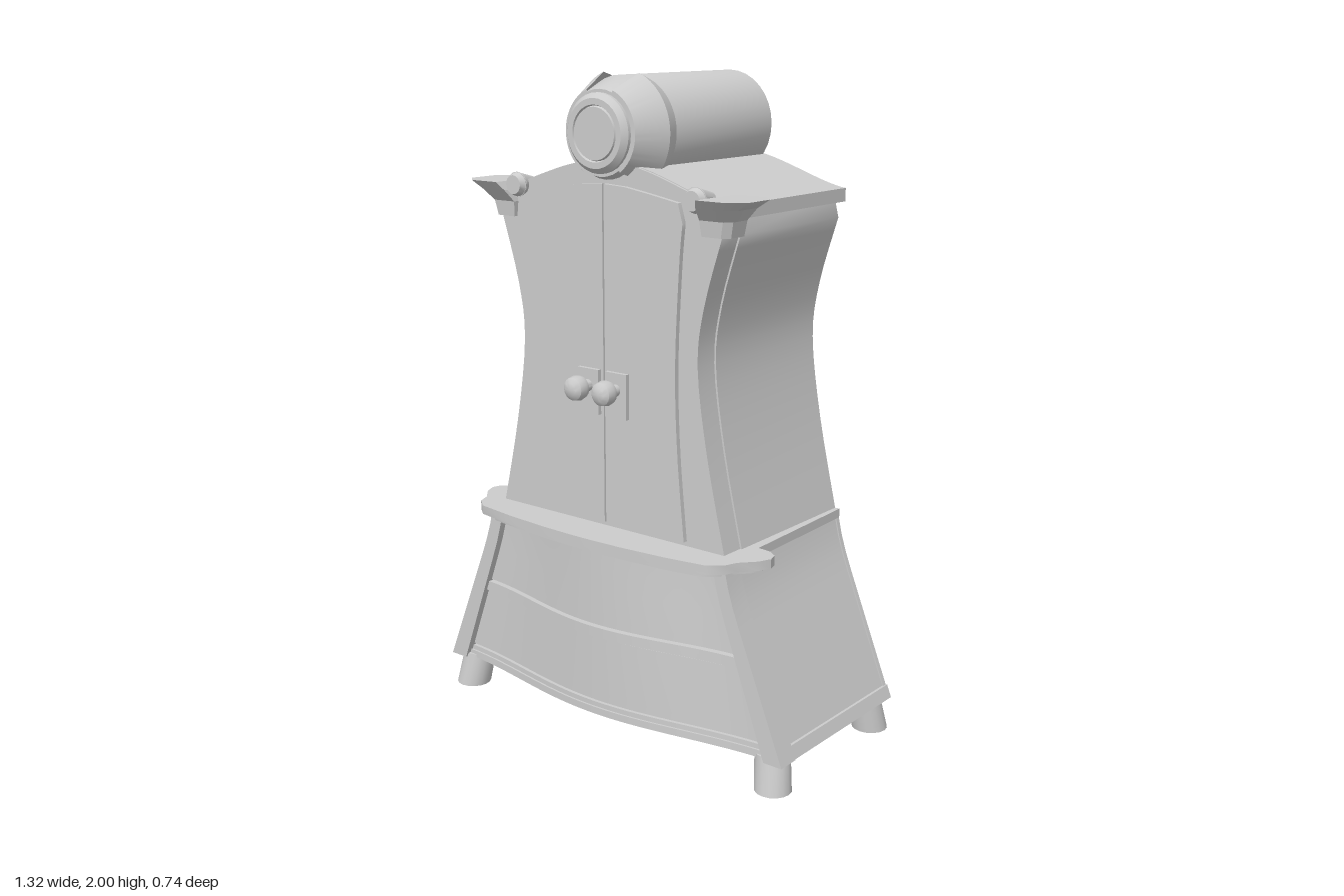
import * as THREE from 'three';
import { toCreasedNormals } from 'three/addons/utils/BufferGeometryUtils.js';
import { ConvexGeometry } from 'three/addons/geometries/ConvexGeometry.js';

export function createModel() {
  const root = new THREE.Group();
  root.name = 'cabinet';
  const grey = new THREE.MeshStandardMaterial({ color: 0xcccccc, side: THREE.DoubleSide });
  grey.name = 'plainGrey';

  const add = (name, geo, parent = root) => {
    const m = new THREE.Mesh(toCreasedNormals(geo, 0.6), grey);
    m.name = name;
    parent.add(m);
    return m;
  };
  // extrude a closed outline [x, y] from z0 to z1
  const slab = (pts, z0, z1) => {
    const shape = new THREE.Shape(pts.map(p => new THREE.Vector2(p[0], p[1])));
    return new THREE.ExtrudeGeometry(shape, { depth: z1 - z0, bevelEnabled: false }).translate(0, 0, z0);
  };
  const mirrored = half => [...half, ...half.map(([x, y]) => [-x, y]).reverse()];
  const smooth = (pts, n) => new THREE.SplineCurve(pts.map(p => new THREE.Vector2(...p))).getPoints(n).map(v => [v.x, v.y]);
  const roofY = x => 1.655 + 0.1 * Math.pow(Math.max(0, Math.cos(Math.PI * x / 0.84)), 1.4);
  const roofLine = (x0, drop, n = 12) =>
    Array.from({ length: n }, (_, i) => { const x = x0 * (1 - (i + 0.5) / n); return [x, roofY(x) - drop]; });

  // --- upper cupboard ---
  const waist = smooth([[0.433, 0.65], [0.365, 0.95], [0.33, 1.2], [0.35, 1.37], [0.41, 1.57]], 16);
  add('upperBody', slab(mirrored([...waist.map(([x, y]) => [x + 0.006, y]), ...roofLine(0.416, 0.02)]), -0.335, 0.16));
  add('upperFrame', slab(mirrored([...waist, ...roofLine(0.41, 0.002)]), 0.16, 0.237));
  add('roof', slab([
    [0.42, 1.615], [0.42, 1.655], ...roofLine(0.42, 0), ...roofLine(0.42, 0).map(([x, y]) => [-x, y]).reverse(),
    [-0.42, 1.655], [-0.42, 1.615], ...roofLine(0.42, 0.04).map(([x, y]) => [-x, y]), ...roofLine(0.42, 0.04).reverse(),
  ], -0.365, 0.228));

  // --- doors with plates and knobs ---
  const doorEdge = smooth([[0.295, 0.685], [0.27, 0.95], [0.262, 1.2], [0.275, 1.48], [0.286, 1.6]], 14);
  for (const s of [1, -1]) {
    const door = new THREE.Group();
    door.name = s > 0 ? 'leftDoor' : 'rightDoor';
    root.add(door);
    const outline = [[0.003, 0.685], ...doorEdge, [0.27, 1.655], [0.165, 1.673], [0.08, 1.686], [0.003, 1.69]];
    add('doorPanel', slab(outline.map(([x, y]) => [s * x, y]), 0.23, 0.252), door);
    add('knobPlate', new THREE.BoxGeometry(0.08, 0.135, 0.015).translate(s * 0.053, 1.083, 0.257), door);
    const knob = [[0.018, 0.25], [0.018, 0.285], [0.034, 0.297], [0.038, 0.312], [0.034, 0.332], [0.02, 0.343], [0, 0.345]];
    add('knob', new THREE.LatheGeometry(knob.map(p => new THREE.Vector2(...p)), 16)
      .rotateX(Math.PI / 2).translate(s * 0.053, 1.1, 0), door);
  }

  // --- capitals and rosettes at the top corners ---
  const ring = (y, x0, x1, z0, z1, c) => [
    [x0, z0], [x1 - c, z0], [x1, z0 + c], [x1, z1 - c], [x1 - c, z1], [x0, z1],
  ].map(([x, z]) => [x, y, z]);
  const levels = [
    ring(1.57, 0.35, 0.435, 0.15, 0.25, 0.02),
    ring(1.615, 0.345, 0.445, 0.15, 0.255, 0.02),
    ring(1.65, 0.355, 0.475, 0.135, 0.285, 0.03),
    ring(1.675, 0.37, 0.515, 0.12, 0.305, 0.045),
  ];
  for (const s of [1, -1]) {
    const side = s > 0 ? 'left' : 'right';
    for (let i = 0; i < 3; i++) {
      const pts = [...levels[i], ...levels[i + 1]].map(([x, y, z]) => new THREE.Vector3(s * x, y, z));
      add(side + 'Capital', new ConvexGeometry(pts));
    }
    add(side + 'Rosette', new THREE.CylinderGeometry(0.037, 0.018, 0.07, 20).rotateX(Math.PI / 2).translate(s * 0.332, 1.667, 0.22));
    add(side + 'RosetteRim', new THREE.CylinderGeometry(0.028, 0.037, 0.02, 20).rotateX(Math.PI / 2).translate(s * 0.332, 1.667, 0.262));
  }

  // --- barrel on the roof, with flared collar halves ---
  const turned = (name, pts, start = 0, len = Math.PI * 2) =>
    add(name, new THREE.LatheGeometry(pts.map(p => new THREE.Vector2(...p)), 32, start, len)
      .rotateX(Math.PI / 2).translate(0, 1.832, 0));
  turned('barrel', [[0, -0.352], [0.158, -0.352], [0.158, 0.17], [0.122, 0.262], [0, 0.262]]);
  turned('barrelCap', [[0.113, 0.25], [0.113, 0.272], [0.098, 0.288], [0.08, 0.288], [0.077, 0.28], [0.074, 0.288], [0, 0.288]]);
  const collar = [[0.15, 0.115], [0.158, 0.115], [0.177, 0.168], [0.128, 0.262], [0.11, 0.262]];
  turned('leftCollar', collar, 0.6, Math.PI - 0.98);
  turned('rightCollar', collar, Math.PI + 0.38, Math.PI - 0.98);

  // --- shelf between cupboard and drawers ---
  const shelf = mirrored([
    [0.45, -0.335], [0.465, 0.12], [0.51, 0.125], [0.538, 0.145], [0.547, 0.175], [0.53, 0.215], [0.49, 0.26],
    [0.475, 0.3], [0.435, 0.333], [0.3, 0.353], [0.15, 0.366], [0.03, 0.37],
  ]);
  const laid = (pts, y0, y1) => slab(pts.map(([x, z]) => [x, -z]), y0, y1).rotateX(-Math.PI / 2);
  add('shelf', laid(shelf, 0.642, 0.67));
  add('shelfMoulding', laid(shelf.map(([x, z]) => [x * 0.93, z < 0 ? z : z * 0.93]), 0.622, 0.642));

  // --- lower chest: splayed panels bent to the outline ---
  const foot = [[0.1, 0.655], [0.2, 0.615], [0.36, 0.551], [0.52, 0.487], [0.58, 0.467], [0.645, 0.452]];
  const halfWidth = y => {
    let i = 0;
    while (i < foot.length - 2 && y > foot[i + 1][0]) i++;
    const [a, b] = [foot[i], foot[i + 1]];
    return a[1] + (b[1] - a[1]) * (y - a[0]) / (b[0] - a[0]);
  };
  const bow = u => 0.235 + 0.08 * Math.cos(Math.PI * u / 2) ** 2;
  // u runs across the width (-1 to 1); back and front give z for each u
  const panel = (name, u0, u1, y0, y1, back, front, inset = 0) => {
    const g = new THREE.BoxGeometry(1, 1, 1, u1 - u0 > 1 ? 32 : 1, 10, 1);
    const p = g.attributes.position;
    for (let i = 0; i < p.count; i++) {
      const u = u0 + (p.getX(i) + 0.5) * (u1 - u0);
      const y = y0 + (p.getY(i) + 0.5) * (y1 - y0);
      p.setXYZ(i, u * (halfWidth(y) - inset), y, p.getZ(i) > 0 ? front(u) : back(u));
    }
    add(name, g);
  };
  const flat = z => () => z;
  const bowed = d => u => bow(u) + d;
  panel('backPanel', -1, 1, 0.1, 0.645, flat(-0.335), flat(-0.32), 0.004);
  panel('drawerCarcass', -0.94, 0.94, 0.1, 0.64, bowed(-0.025), bowed(0));
  panel('lowerDrawer', -0.91, 0.91, 0.145, 0.347, bowed(-0.01), bowed(0.01));
  panel('upperDrawer', -0.92, 0.92, 0.388, 0.615, bowed(-0.01), bowed(0.01));
  panel('drawerRail', -0.91, 0.91, 0.352, 0.383, bowed(-0.01), bowed(0.02));
  panel('baseRail', -0.92, 0.92, 0.1, 0.122, bowed(-0.02), bowed(0.017));
  panel('baseRailTop', -0.92, 0.92, 0.122, 0.137, bowed(-0.02), bowed(0.011));
  for (const s of [1, -1]) {
    const across = (a, b) => (s > 0 ? [a, b] : [-b, -a]);
    const side = s > 0 ? 'left' : 'right';
    panel(side + 'SidePanel', ...across(0.96, 1), 0.1, 0.645, flat(-0.335), flat(0.205), 0.008);
    panel(side + 'BaseTrim', ...across(0.96, 1), 0.097, 0.135, flat(-0.337), flat(0.205));
    panel(side + 'Post', ...across(0.91, 1.005), 0.097, 0.645, flat(0.198), flat(0.27));
    // leaning feet
    for (const [name, zTop, zBottom] of [['FrontFoot', 0.21, 0.228], ['BackFoot', -0.28, -0.3]]) {
      const g = new THREE.CylinderGeometry(0.053, 0.055, 0.11, 16);
      const p = g.attributes.position;
      for (let i = 0; i < p.count; i++) {
        const t = 0.5 - p.getY(i) / 0.11;
        p.setXYZ(i, p.getX(i) + s * (0.588 + 0.016 * t), p.getY(i) + 0.055, p.getZ(i) + zTop + (zBottom - zTop) * t);
      }
      add(side + name, g);
    }
  }
  return root;
}
